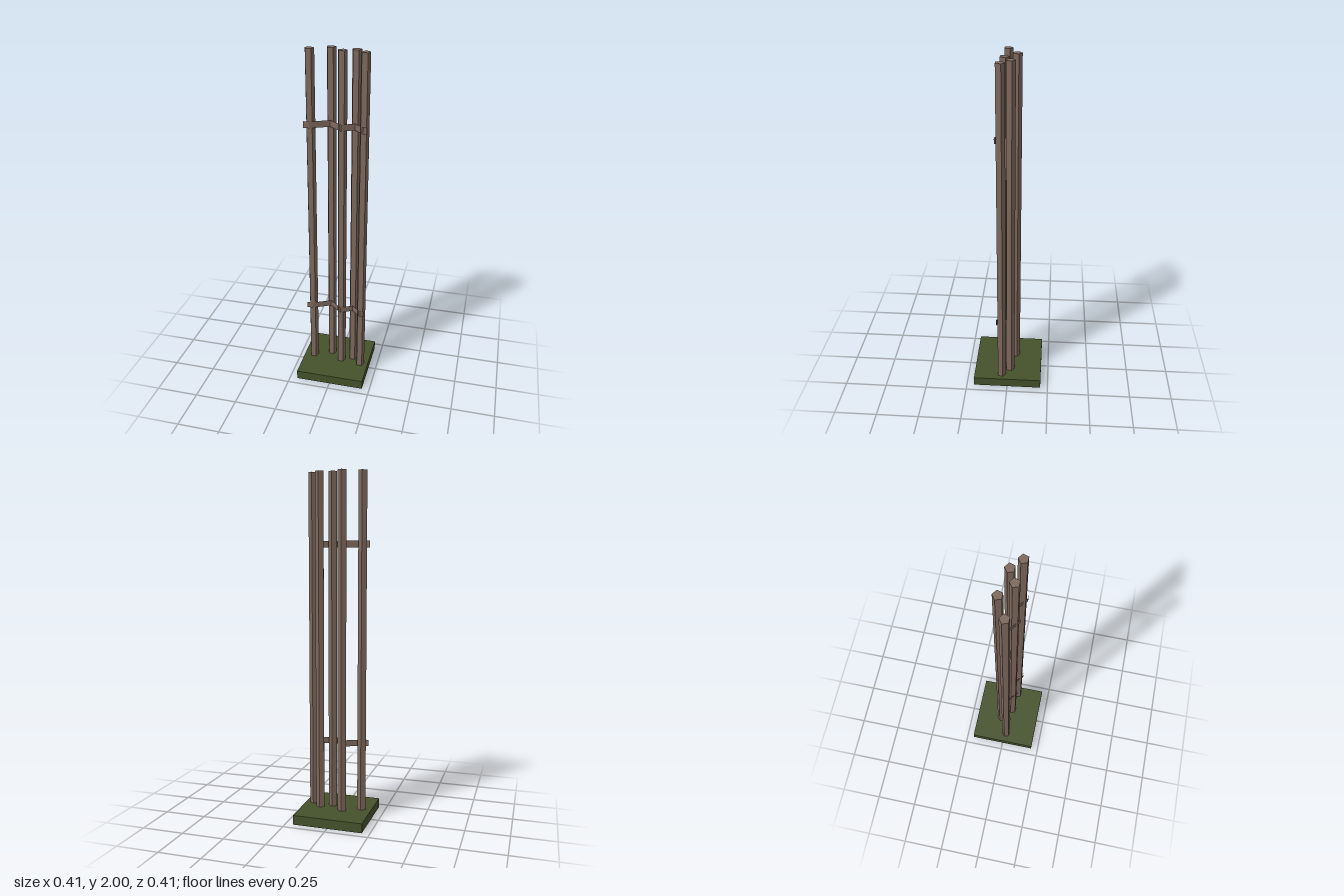
import * as THREE from 'three';

const bark = new THREE.MeshStandardMaterial({ color: 0x7e695d, flatShading: true });
bark.name = 'brown wood';
const strap = new THREE.MeshStandardMaterial({ color: 0x7e695d, flatShading: true, side: THREE.DoubleSide });
strap.name = 'brown strap';
const moss = new THREE.MeshStandardMaterial({ color: 0x45522b });
moss.name = 'moss green';

// Pole centres on the ground plan, [x, z], from right to left
const POLES = [[-0.145, 0.0135], [-0.041, -0.039], [0.033, 0.023], [0.1, -0.013], [0.156, 0.037]];
const BASE_HEIGHT = 0.055;
const HEIGHT = 2;

function addMesh(parent, name, geometry, material) {
  const mesh = new THREE.Mesh(geometry, material);
  mesh.name = name;
  parent.add(mesh);
  return mesh;
}

// Upright ribbon that follows a ground-plan path
function ribbonGeometry(path, height) {
  const geometry = new THREE.PlaneGeometry(1, height, path.length - 1, 1);
  const position = geometry.attributes.position;
  for (let i = 0; i < position.count; i++) {
    const [x, z] = path[i % path.length];
    position.setX(i, x);
    position.setZ(i, z);
  }
  geometry.computeVertexNormals();
  return geometry;
}

export function createModel() {
  const model = new THREE.Group();
  model.name = 'poleScreen';

  // Square ground slab
  addMesh(model, 'base', new THREE.BoxGeometry(0.41, BASE_HEIGHT, 0.41), moss).position.y = BASE_HEIGHT / 2;

  // Five-sided poles, each with a corner to the back and a flat to the front
  const length = HEIGHT - BASE_HEIGHT;
  const poleGeometry = new THREE.CylinderGeometry(0.0265, 0.0265, length, 5);
  poleGeometry.rotateY(Math.PI);
  POLES.forEach(([x, z], i) => {
    addMesh(model, `pole${i + 1}`, poleGeometry, bark).position.set(x, BASE_HEIGHT + length / 2, z);
  });

  // Thin straps zigzag along the front of the poles
  const knots = POLES.map(([x, z]) => [x, z + 0.03]);
  const path = [[-0.177, knots[0][1]], ...knots, [0.177, knots[4][1]]];
  const strapGeometry = ribbonGeometry(path, 0.037);
  [['lowerStrap', 0.448], ['upperStrap', 1.598]].forEach(([name, y]) => {
    addMesh(model, name, strapGeometry, strap).position.y = y;
  });

  return model;
}
